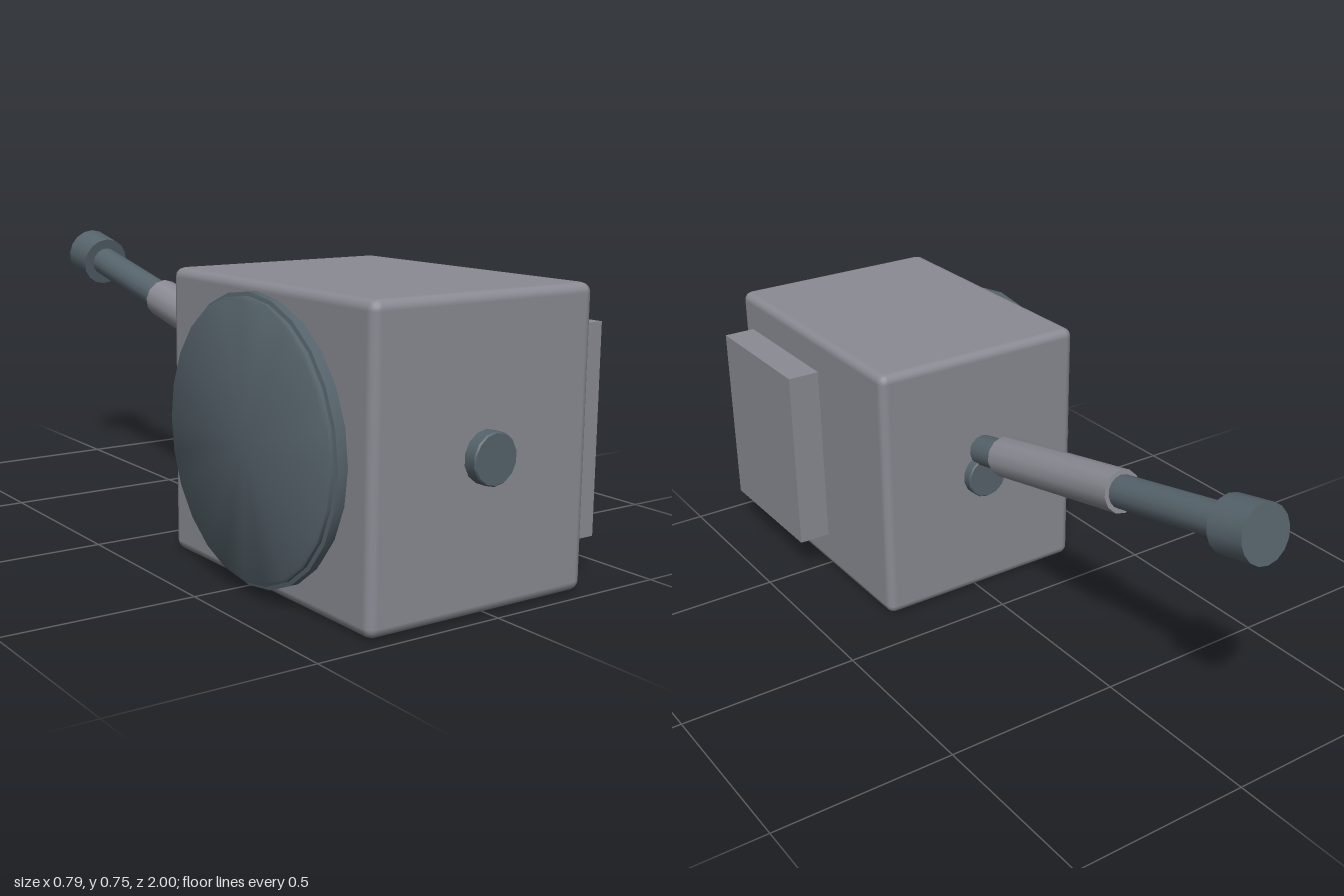
import * as THREE from 'three';
import { RoundedBoxGeometry } from 'three/addons/geometries/RoundedBoxGeometry.js';
import { toCreasedNormals } from 'three/addons/utils/BufferGeometryUtils.js';

const bodyGrey = new THREE.MeshStandardMaterial({ color: 0x8a8b93 });
bodyGrey.name = 'bodyGrey';
const darkSteel = new THREE.MeshStandardMaterial({ color: 0x56636b });
darkSteel.name = 'darkSteel';

export function createModel() {
  const model = new THREE.Group();
  model.name = 'boxWithArm';

  const add = (name, geometry, material, parent = model) => {
    const mesh = new THREE.Mesh(geometry, material);
    mesh.name = name;
    parent.add(mesh);
    return mesh;
  };
  // Solid of revolution about y from [radius, height] pairs
  const turned = (points, sides) => toCreasedNormals(
    new THREE.LatheGeometry(points.map(([r, y]) => new THREE.Vector2(r, y)), sides), 0.6);

  // Main housing with softened edges
  add('housing', new RoundedBoxGeometry(0.64, 0.74, 0.835, 2, 0.025), bodyGrey)
    .position.set(-0.02, 0.37, 0.5475);

  // Raised plate on the left side
  add('sidePlate', new THREE.BoxGeometry(0.1, 0.53, 0.415), bodyGrey)
    .position.set(0.342, 0.37, 0.6975);

  // Large round cover with a thin rim on the right side
  const cover = add('roundCover', turned([
    [0, 0], [0.33, 0], [0.34, 0.006], [0.34, 0.018], [0.35, 0.02],
    [0.35, 0.04], [0.34, 0.042], [0.34, 0.052], [0.332, 0.057], [0, 0.057],
  ], 24), darkSteel);
  cover.rotation.z = Math.PI / 2;
  cover.position.set(-0.337, 0.37, 0.547);

  // Axle ends showing at the front and back
  for (const [name, z] of [['frontAxleEnd', 0.975], ['rearAxleEnd', 0.125]]) {
    const axle = add(name, turned([[0, -0.025], [0.06, -0.025], [0.063, -0.021],
      [0.063, 0.021], [0.06, 0.025], [0, 0.025]], 14), darkSteel);
    axle.rotation.x = Math.PI / 2;
    axle.position.set(-0.02, 0.37, z);
  }

  // Arm rising to the back, built along its own y axis
  const start = new THREE.Vector3(-0.02, 0.445, 0.125);
  const end = new THREE.Vector3(-0.02, 0.68, -0.98);
  const length = start.distanceTo(end);
  const arm = new THREE.Group();
  arm.name = 'arm';
  arm.position.copy(start);
  arm.quaternion.setFromUnitVectors(new THREE.Vector3(0, 1, 0), end.clone().sub(start).normalize());
  model.add(arm);

  const segment = (name, radius, from, to, material, sides) => add(name,
    turned([[0, from], [radius, from], [radius, to], [0, to]], sides), material, arm);
  segment('armTube', 0.044, 0, length - 0.02, darkSteel, 16);
  segment('armSleeve', 0.057, 0.11, 0.63, bodyGrey, 12);
  segment('armTip', 0.074, length - 0.112, length, darkSteel, 16);

  return model;
}
